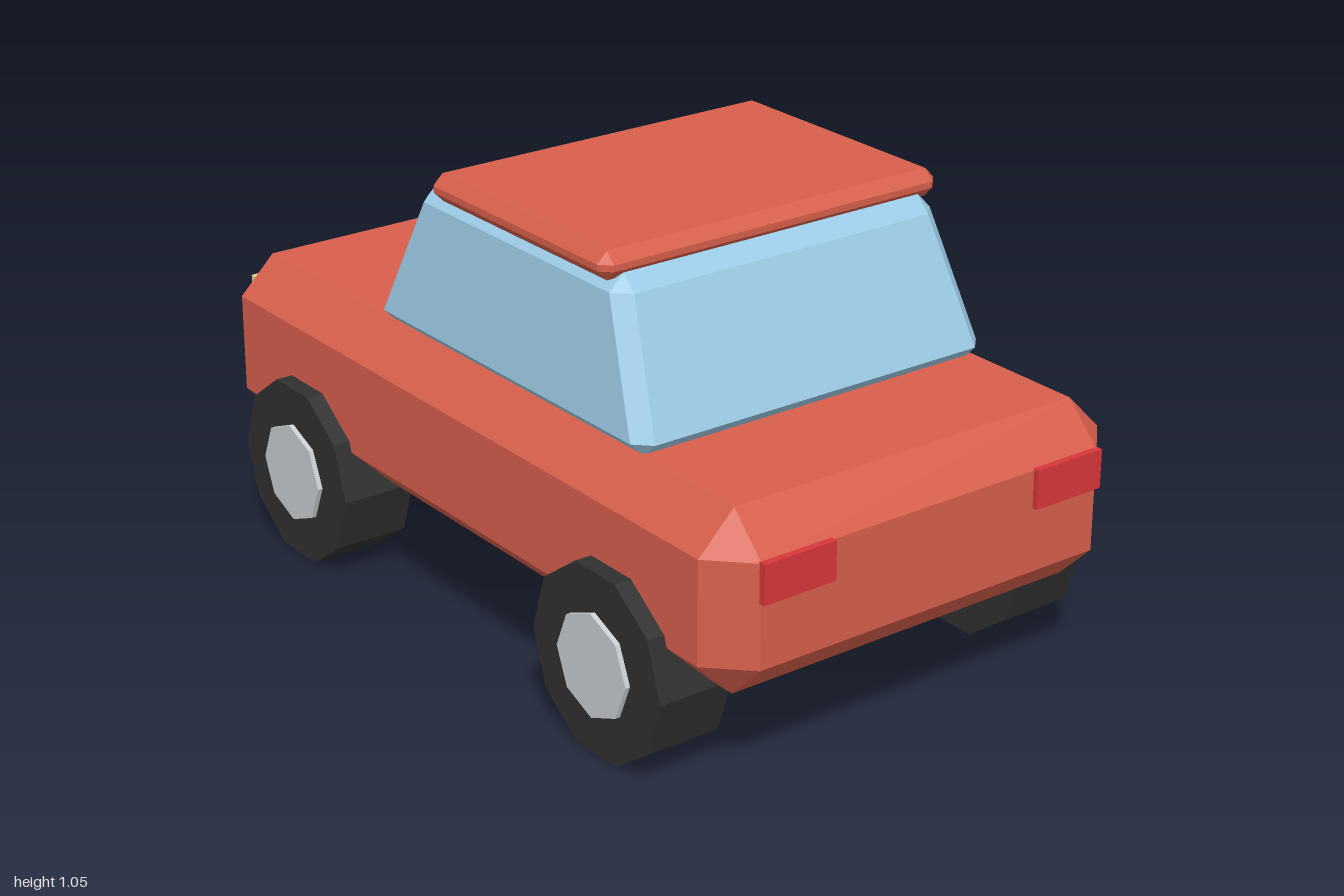
import * as THREE from 'three';
import { ConvexGeometry } from 'three/addons/geometries/ConvexGeometry.js';

const mat = (name, color) => {
  const m = new THREE.MeshStandardMaterial({ color });
  m.name = name;
  return m;
};

// Chamfered block, optionally tapered: each end gives its outer y, half width and z range.
function chamferBlock(bottom, top, bevel) {
  const pts = [];
  for (const [end, inward] of [[bottom, 1], [top, -1]]) {
    const { y, w, z0, z1 } = end;
    for (const sx of [-1, 1]) {
      for (const [z, sz] of [[z0, 1], [z1, -1]]) {
        const xi = sx * (w - bevel), zi = z + sz * bevel, yi = y + inward * bevel;
        pts.push(
          new THREE.Vector3(xi, y, zi),      // cap corner
          new THREE.Vector3(sx * w, yi, zi), // side corner
          new THREE.Vector3(xi, yi, z)       // end corner
        );
      }
    }
  }
  return new ConvexGeometry(pts);
}

export function createModel() {
  const red = mat('body red', 0xd75f4c);
  const glass = mat('window blue', 0x9ccbe6);
  const rubber = mat('tire black', 0x303030);
  const metal = mat('hub silver', 0xc8ced2);
  const tailRed = mat('tail lamp red', 0xd8363a);
  const cream = mat('head lamp cream', 0xe0d098);
  for (const m of [rubber, metal]) m.flatShading = true;

  const car = new THREE.Group();
  car.name = 'car';
  const add = (parent, name, geometry, material, x = 0, y = 0, z = 0) => {
    const mesh = new THREE.Mesh(geometry, material);
    mesh.name = name;
    mesh.position.set(x, y, z);
    parent.add(mesh);
    return mesh;
  };

  // Lower body
  add(car, 'body', chamferBlock(
    { y: 0.23, w: 0.55, z0: -0.987, z1: 0.987 },
    { y: 0.65, w: 0.55, z0: -0.987, z1: 0.987 }, 0.09), red);

  // Tapered glass cabin
  add(car, 'cabin', chamferBlock(
    { y: 0.64, w: 0.48, z0: -0.40, z1: 0.615 },
    { y: 1.0, w: 0.44, z0: -0.28, z1: 0.49 }, 0.037), glass);

  // Roof panel
  add(car, 'roof', chamferBlock(
    { y: 0.985, w: 0.46, z0: -0.196, z1: 0.464 },
    { y: 1.05, w: 0.46, z0: -0.196, z1: 0.464 }, 0.025), red);

  // Wheels: ten-sided tires with eight-sided hubs showing on both faces
  const tireGeo = new THREE.CylinderGeometry(0.225, 0.225, 0.184, 10).rotateZ(Math.PI / 2);
  const hubGeo = new THREE.CylinderGeometry(0.122, 0.122, 0.208, 8).rotateZ(Math.PI / 2);
  for (const [side, sx] of [['left', 1], ['right', -1]]) {
    for (const [end, z] of [['front', 0.605], ['rear', -0.605]]) {
      const wheel = new THREE.Group();
      wheel.name = `${end} ${side} wheel`;
      wheel.position.set(sx * 0.5, 0.214, z);
      add(wheel, 'tire', tireGeo, rubber);
      add(wheel, 'hub', hubGeo, metal);
      car.add(wheel);
    }
  }

  // Lamps at both ends
  const lampGeo = new THREE.BoxGeometry(0.186, 0.091, 0.03);
  for (const [side, sx] of [['left', 1], ['right', -1]]) {
    add(car, `${side} red lamp`, lampGeo, tailRed, sx * 0.37, 0.518, 0.985);
    add(car, `${side} cream lamp`, lampGeo, cream, sx * 0.37, 0.518, -0.985);
  }

  return car;
}
